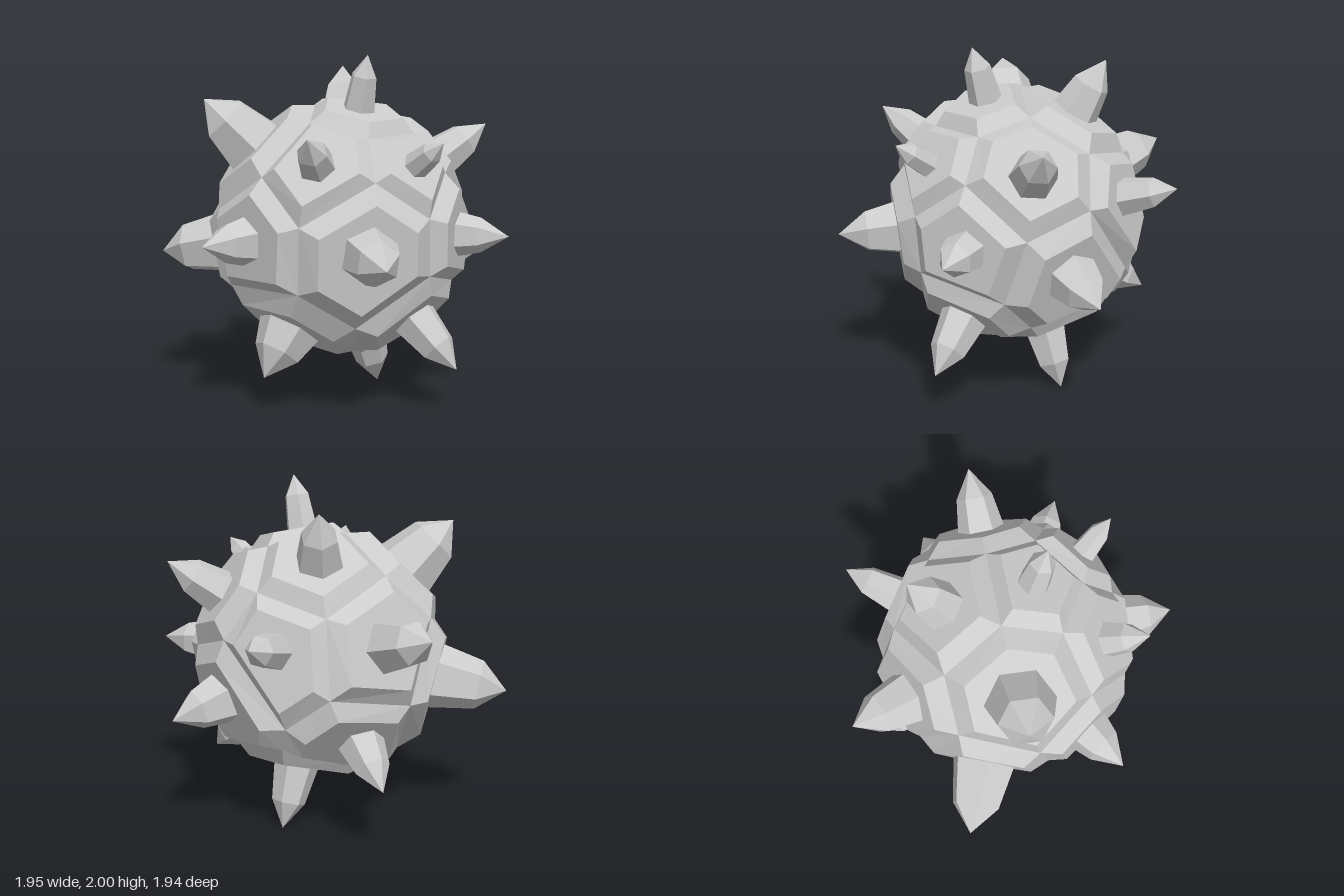
import * as THREE from 'three';
import { ConvexGeometry } from 'three/addons/geometries/ConvexGeometry.js';

const CENTER = new THREE.Vector3(0.04, 1, -0.01);
const RADIUS = 0.72; // grooves lie on this sphere
const INSET = 0.25;  // bevel share of the plate

// Spike tips and base radii: x, y, z, radius
const SPIKES = [
  [0.31, 2.0, 0, 0.1], [-0.36, 1.91, -0.33, 0.145], [-0.33, 1.75, 0.67, 0.205],
  [0.56, 1.585, 0.59, 0.115], [0.85, 1.55, -0.09, 0.085], [-0.975, 1.305, -0.065, 0.168],
  [0.125, 1.0, 0.967, 0.148], [0.975, 0.935, 0.39, 0.168], [-0.77, 0.82, 0.71, 0.195],
  [-0.77, 0.43, -0.21, 0.135], [0.757, 0.26, -0.29, 0.14], [0.1, 0.207, 0.566, 0.185],
  [-0.05, 0.0, -0.365, 0.135], [0.4, 1.585, -0.81, 0.14], [0.14, 0.75, -0.97, 0.16],
  [-0.455, 1.28, -0.86, 0.115], [0.86, 1.0, -0.57, 0.135],
];

// Groove corners around every spike: normals of the hull of the sites.
// Sites further out claim larger plates.
function findCells(sites) {
  const pos = new ConvexGeometry(sites).getAttribute('position');
  const cells = sites.map(() => []);
  const tri = new THREE.Triangle();
  for (let i = 0; i < pos.count; i += 3) {
    tri.setFromAttributeAndIndices(pos, i, i + 1, i + 2);
    const corner = tri.getNormal(new THREE.Vector3()).multiplyScalar(RADIUS);
    for (const p of [tri.a, tri.b, tri.c]) {
      cells[sites.findIndex(s => s.distanceTo(p) < 1e-3)].push(corner);
    }
  }
  // Sort each ring counter-clockwise seen from outside
  cells.forEach((ring, k) => {
    const n = sites[k].clone().normalize();
    const u = new THREE.Vector3(n.y, n.z, n.x).cross(n).normalize();
    const v = n.clone().cross(u);
    ring.sort((a, b) => Math.atan2(a.dot(v), a.dot(u)) - Math.atan2(b.dot(v), b.dot(u)));
  });
  return cells;
}

// Raised flat plate with a sloping bevel down to the groove
function plateGeometry(ring, rise) {
  const mid = new THREE.Vector3();
  const normal = new THREE.Vector3();
  ring.forEach((p, i) => {
    mid.addScaledVector(p, 1 / ring.length);
    normal.add(p.clone().cross(ring[(i + 1) % ring.length]));
  });
  normal.normalize();
  const top = mid.clone().addScaledVector(normal, rise);
  const inner = ring.map(p => {
    const q = p.clone().lerp(mid, INSET).sub(mid);
    return q.projectOnPlane(normal).add(top);
  });
  const points = [];
  ring.forEach((a, i) => {
    const j = (i + 1) % ring.length;
    points.push(a, ring[j], inner[j], a, inner[j], inner[i], inner[i], inner[j], top);
  });
  const geometry = new THREE.BufferGeometry().setFromPoints(points);
  geometry.computeVertexNormals();
  return geometry;
}

// Six-sided tapering shaft with a pointed cap
function spikeGeometry(length, r) {
  const shoulder = length - Math.min(0.16, 1.2 * r);
  const profile = [
    [r * 1.05, 0.5], [r, 0.66], [r * 0.73, shoulder], [0, length],
  ].map(([x, y]) => new THREE.Vector2(x, y));
  return new THREE.LatheGeometry(profile, 6);
}

export function createModel() {
  const model = new THREE.Group();
  model.name = 'spikedBall';
  const material = new THREE.MeshStandardMaterial({ color: 0xcccccc, flatShading: true });
  const up = new THREE.Vector3(0, 1, 0);

  const tips = SPIKES.map(([x, y, z]) => new THREE.Vector3(x, y, z).sub(CENTER));
  const dirs = tips.map(t => t.clone().normalize());
  const cells = findCells(dirs.map((d, k) => d.clone().multiplyScalar(0.86 + SPIKES[k][3])));

  SPIKES.forEach(([, , , r], k) => {
    const plate = new THREE.Mesh(plateGeometry(cells[k], 0.05 + 0.24 * r), material);
    plate.name = 'plate';
    plate.position.copy(CENTER);

    const spike = new THREE.Mesh(spikeGeometry(tips[k].length(), r), material);
    spike.name = 'spike';
    spike.position.copy(CENTER);
    spike.quaternion.setFromUnitVectors(up, dirs[k]);

    model.add(plate, spike);
  });
  return model;
}
